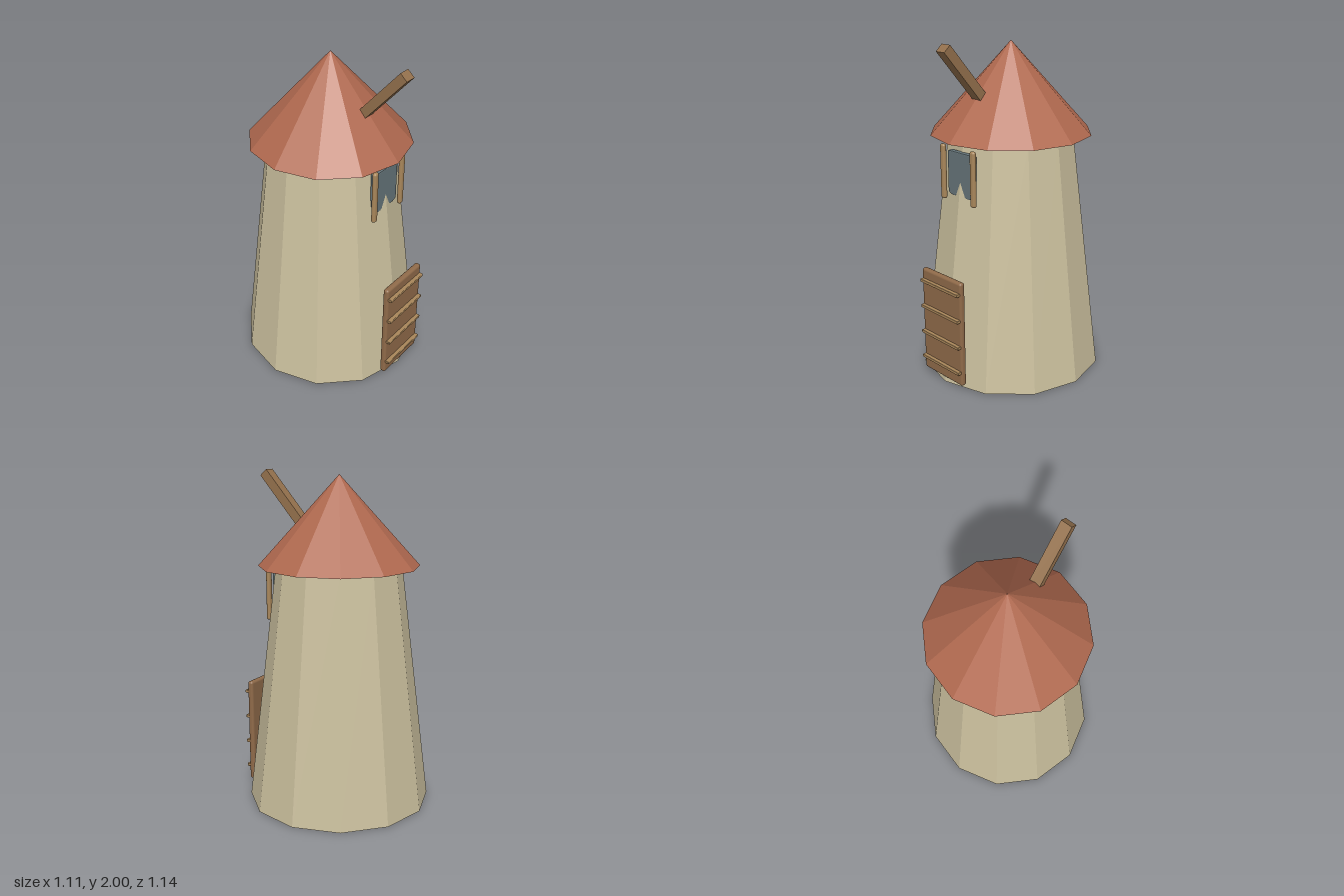
import * as THREE from 'three';
import { RoundedBoxGeometry } from 'three/addons/geometries/RoundedBoxGeometry.js';

const mat = (color, flatShading = false) => new THREE.MeshStandardMaterial({ color, flatShading });

export function createModel() {
  const model = new THREE.Group();
  model.name = 'tower';
  const stone = mat(0xcbc09e, true);
  const tile = mat(0xb0694f, true);
  const wood = mat(0x8f6a49);
  const beamWood = mat(0x94714d, true);
  const paleWood = mat(0xa8865a);
  const cloth = mat(0x66757a);

  const add = (name, geometry, material, x, y, z, parent = model) => {
    const mesh = new THREE.Mesh(geometry, material);
    mesh.name = name;
    mesh.position.set(x, y, z);
    parent.add(mesh);
    return mesh;
  };

  // Twelve-sided tapered wall and pointed roof
  const axisZ = -0.018;
  add('wall', new THREE.CylinderGeometry(0.375, 0.555, 1.45, 12), stone, 0, 0.725, axisZ);
  add('roof', new THREE.ConeGeometry(0.48, 0.53, 12), tile, 0, 1.715, axisZ);

  // Slanted beam leaning out of the roof front
  const tilt = 0.72, length = 0.5;
  const beam = add('roofBeam', new THREE.BoxGeometry(0.068, length, 0.056), beamWood,
    0, 1.981 - Math.cos(tilt) * length / 2, 0.488 - Math.sin(tilt) * length / 2);
  beam.rotation.x = tilt;

  // Plank door with four cross slats
  const door = new THREE.Group();
  door.name = 'door';
  model.add(door);
  add('doorPanel', new RoundedBoxGeometry(0.34, 0.655, 0.037, 3, 0.015), wood, 0, 0.365, 0.531, door);
  for (const y of [0.125, 0.29, 0.457, 0.622]) {
    add('doorSlat', new RoundedBoxGeometry(0.325, 0.019, 0.032, 2, 0.004), paleWood, 0, y, 0.556, door);
  }

  // Window cloth: two rounded lobes meeting in a notch
  const window = new THREE.Group();
  window.name = 'window';
  model.add(window);
  const b = 0.006, w = 0.105 - b, top = 1.39 - b;
  const shape = new THREE.Shape();
  shape.moveTo(0, 1.183);
  shape.quadraticCurveTo(0.012, 1.14, 0.045, 1.134);
  shape.quadraticCurveTo(0.08, 1.13, w, 1.148);
  shape.lineTo(w, top - 0.01);
  shape.quadraticCurveTo(w, top, w - 0.01, top);
  shape.lineTo(-w + 0.01, top);
  shape.quadraticCurveTo(-w, top, -w, top - 0.01);
  shape.lineTo(-w, 1.148);
  shape.quadraticCurveTo(-0.08, 1.13, -0.045, 1.134);
  shape.quadraticCurveTo(-0.012, 1.14, 0, 1.183);
  const clothGeometry = new THREE.ExtrudeGeometry(shape, {
    depth: 0.022, bevelEnabled: true, bevelSize: b, bevelThickness: b, bevelSegments: 2, curveSegments: 8,
  });
  add('windowCloth', clothGeometry, cloth, 0, 0, 0.358, window);

  // Rounded posts on both sides of the window
  for (const side of [-1, 1]) {
    add('windowPost', new RoundedBoxGeometry(0.037, 0.325, 0.028, 3, 0.0135), paleWood,
      side * 0.125, 1.262, 0.4, window);
  }

  return model;
}
